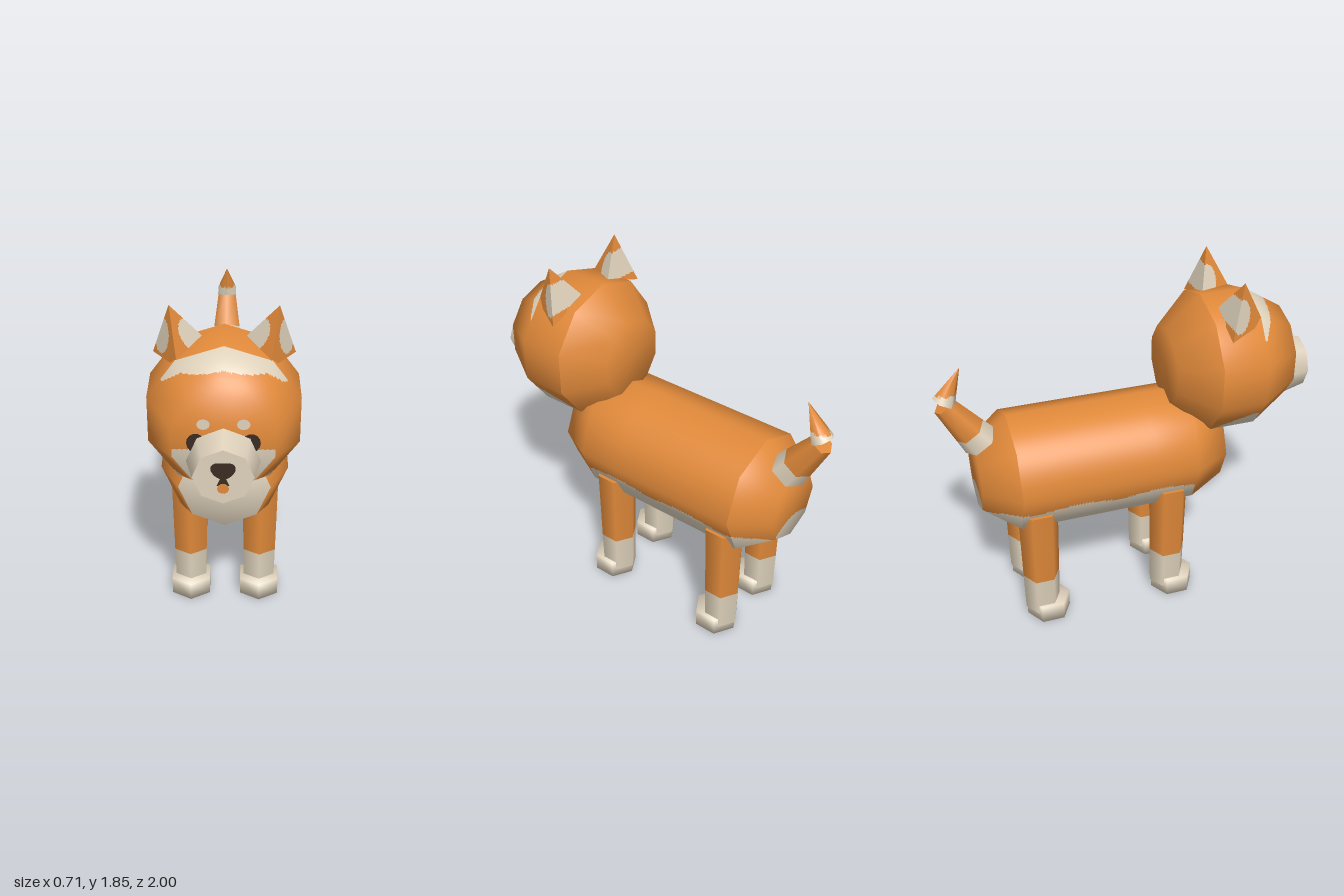
import * as THREE from 'three';
import { ConvexGeometry } from 'three/addons/geometries/ConvexGeometry.js';

function material(name, color) {
  const m = new THREE.MeshStandardMaterial({ color });
  m.name = name;
  return m;
}

// Subdivides each triangle n times and sorts the pieces into orange and cream by a rule on position.
function paint(source, n, isCream) {
  const g = source.index ? source.toNonIndexed() : source;
  const P = g.attributes.position, N = g.attributes.normal;
  const bins = [{ p: [], n: [] }, { p: [], n: [] }];
  const corner = (attr, t, i, j) => {
    const v = new THREE.Vector3(), q = new THREE.Vector3();
    [1 - (i + j) / n, i / n, j / n].forEach((w, k) => v.addScaledVector(q.fromBufferAttribute(attr, t + k), w));
    return v;
  };
  const tri = new THREE.Triangle(), mid = new THREE.Vector3();
  for (let t = 0; t < P.count; t += 3) {
    tri.setFromAttributeAndIndices(P, t, t + 1, t + 2);
    if (tri.getArea() < 1e-7) continue;
    const emit = (cells) => {
      const pts = cells.map(([i, j]) => corner(P, t, i, j));
      mid.copy(pts[0]).add(pts[1]).add(pts[2]).divideScalar(3);
      const bin = bins[isCream(mid.x, mid.y, mid.z) ? 1 : 0];
      cells.forEach(([i, j], k) => {
        bin.p.push(...pts[k].toArray());
        bin.n.push(...corner(N, t, i, j).normalize().toArray());
      });
    };
    for (let i = 0; i < n; i++) for (let j = 0; j < n - i; j++) {
      emit([[i, j], [i + 1, j], [i, j + 1]]);
      if (i + j < n - 1) emit([[i + 1, j], [i + 1, j + 1], [i, j + 1]]);
    }
  }
  const out = new THREE.BufferGeometry();
  out.setAttribute('position', new THREE.Float32BufferAttribute(bins[0].p.concat(bins[1].p), 3));
  out.setAttribute('normal', new THREE.Float32BufferAttribute(bins[0].n.concat(bins[1].n), 3));
  const split = bins[0].p.length / 3;
  out.addGroup(0, split, 0);
  out.addGroup(split, bins[1].p.length / 3, 1);
  return out;
}

// Turned form lying along z; profile points are [radius, z].
function turned(profile, sides, y) {
  return new THREE.LatheGeometry(profile.map(([r, z]) => new THREE.Vector2(r, z)), sides)
    .rotateX(Math.PI / 2).translate(0, y, 0);
}

// Tapered prism from point a to point b.
function rod(a, b, ra, rb, sides, rows = 1) {
  const dir = b.clone().sub(a);
  return new THREE.CylinderGeometry(rb, ra, dir.length(), sides, rows)
    .applyQuaternion(new THREE.Quaternion().setFromUnitVectors(new THREE.Vector3(0, 1, 0), dir.clone().normalize()))
    .translate(...a.clone().add(b).multiplyScalar(0.5).toArray());
}

export function createModel() {
  const orange = material('orange fur', 0xe0893a);
  const cream = material('cream fur', 0xdfd2bc);
  const dark = material('dark nose and eyes', 0x3a2c22);
  const fur = [orange, cream];
  const model = new THREE.Group();
  const add = (name, geometry, mat) => {
    const mesh = new THREE.Mesh(geometry, mat);
    mesh.name = name;
    model.add(mesh);
  };
  const V = (x, y, z) => new THREE.Vector3(x, y, z);

  // Body: octagonal barrel with chest, and a tapered rump
  const R = 0.327;
  add('body', paint(
    turned([[R, -0.64], [R, -0.4], [R, -0.16], [R, 0.08], [R, 0.31], [0.232, 0.5], [0, 0.5]], 8, 0.852), 14,
    (x, y, z) => z < 0.31 ? y < 0.735 + 0.012 * Math.sin(z * 14)
      : z > 0.499 || y < 0.675 - (0.5 - z) * 0.25), fur);
  add('rump', paint(turned([[0, -0.82], [0.19, -0.82], [R, -0.64]], 8, 0.852), 16,
    (x, y, z) => y < (z < -0.819 ? 0.78 - 2 * x * x : 0.72 + (z + 0.73) * 0.15)), fur);

  // Head: ten-sided, with pale brow and cheeks
  add('head', paint(turned([[0.375, 0.405], [0.375, 0.65], [0.245, 0.86], [0, 0.86]], 10, 1.325), 20,
    (x, y, z) => {
      if (z > 0.859) return y < 1.29;
      if (z < 0.65) return y < Math.min(1.115, 1.13 - (0.65 - z) * 0.46);
      if (y > 1.53) return z < 0.76 - 1.2 * x * x;
      return y < 1.095 - (0.86 - z) * 0.2;
    }), fur);
  add('backOfHead', turned([[0, 0.22], [0.21, 0.22], [0.375, 0.405]], 10, 1.325), orange);

  // Muzzle
  add('muzzle', new THREE.CylinderGeometry(0.138, 0.172, 0.146, 8)
    .rotateX(Math.PI / 2).translate(0, 1.228, 0.923), cream);

  // Nose with the mouth line below it, and tongue
  const nose = new THREE.Shape();
  nose.moveTo(-0.03, 1.302);
  nose.lineTo(0.03, 1.302);
  nose.quadraticCurveTo(0.06, 1.295, 0.055, 1.265);
  nose.quadraticCurveTo(0.045, 1.235, 0.014, 1.22);
  nose.lineTo(0.028, 1.185);
  nose.lineTo(-0.028, 1.185);
  nose.lineTo(-0.014, 1.22);
  nose.quadraticCurveTo(-0.045, 1.235, -0.055, 1.265);
  nose.quadraticCurveTo(-0.06, 1.295, -0.03, 1.302);
  add('nose', new THREE.ShapeGeometry(nose).translate(0, 0, 0.999), dark);
  add('tongue', new THREE.CircleGeometry(0.027, 10).translate(0, 1.17, 1), orange);

  for (const s of [1, -1]) {
    const side = s > 0 ? 'left' : 'right';

    // Eyes and brow spots
    add(side + 'Eye', new THREE.CircleGeometry(1, 14).scale(0.042, 0.048, 1)
      .translate(s * 0.125, 1.323, 0.863), dark);
    add(side + 'BrowSpot', new THREE.CircleGeometry(1, 12).scale(0.03, 0.027, 1)
      .translate(s * 0.09, 1.418, 0.863), cream);

    // Ear: leaning three-sided spike with pale patches
    const ear = new ConvexGeometry([
      V(s * 0.25, 1.848, 0.535), V(s * 0.335, 1.578, 0.45), V(s * 0.1, 1.66, 0.46), V(s * 0.21, 1.6, 0.668)]);
    add(side + 'Ear', paint(ear, 24,
      (x, y, z) => ((z - 0.51) / 0.06) ** 2 + ((y - 1.685) / 0.085) ** 2 < 1), fur);

    // Legs: six-sided, with pale socks and paws
    for (const [end, z] of [['Front', 0.185], ['Hind', -0.54]]) {
      const x = s * 0.188;
      add(side + end + 'Leg', rod(V(x, 0.27, z), V(x, 0.7, z), 0.1, 0.108, 6), orange);
      add(side + end + 'Sock', rod(V(x, 0.05, z), V(x, 0.27, z), 0.095, 0.1, 6), cream);
      const paw = [[0, 0], [0.12, 0], [0.12, 0.1], [0, 0.1]].map(([r, y]) => new THREE.Vector2(r, y));
      add(side + end + 'Paw', new THREE.LatheGeometry(paw, 6).translate(x, 0, z + 0.032), cream);
    }
  }

  // Tail: pale root, tapering middle and bent tip
  const root = V(0, 1.053, -0.775), top = V(0, 1.295, -0.945);
  const joint = root.clone().lerp(top, 0.3);
  add('tailRoot', rod(root, joint, 0.1, 0.087, 6), cream);
  add('tail', rod(joint, top, 0.087, 0.058, 6), orange);
  add('tailTip', paint(rod(V(0, 1.315, -0.942), V(0, 1.49, -0.85), 0.062, 0.001, 6), 10,
    (x, y) => y < 1.36), fur);

  return model;
}
